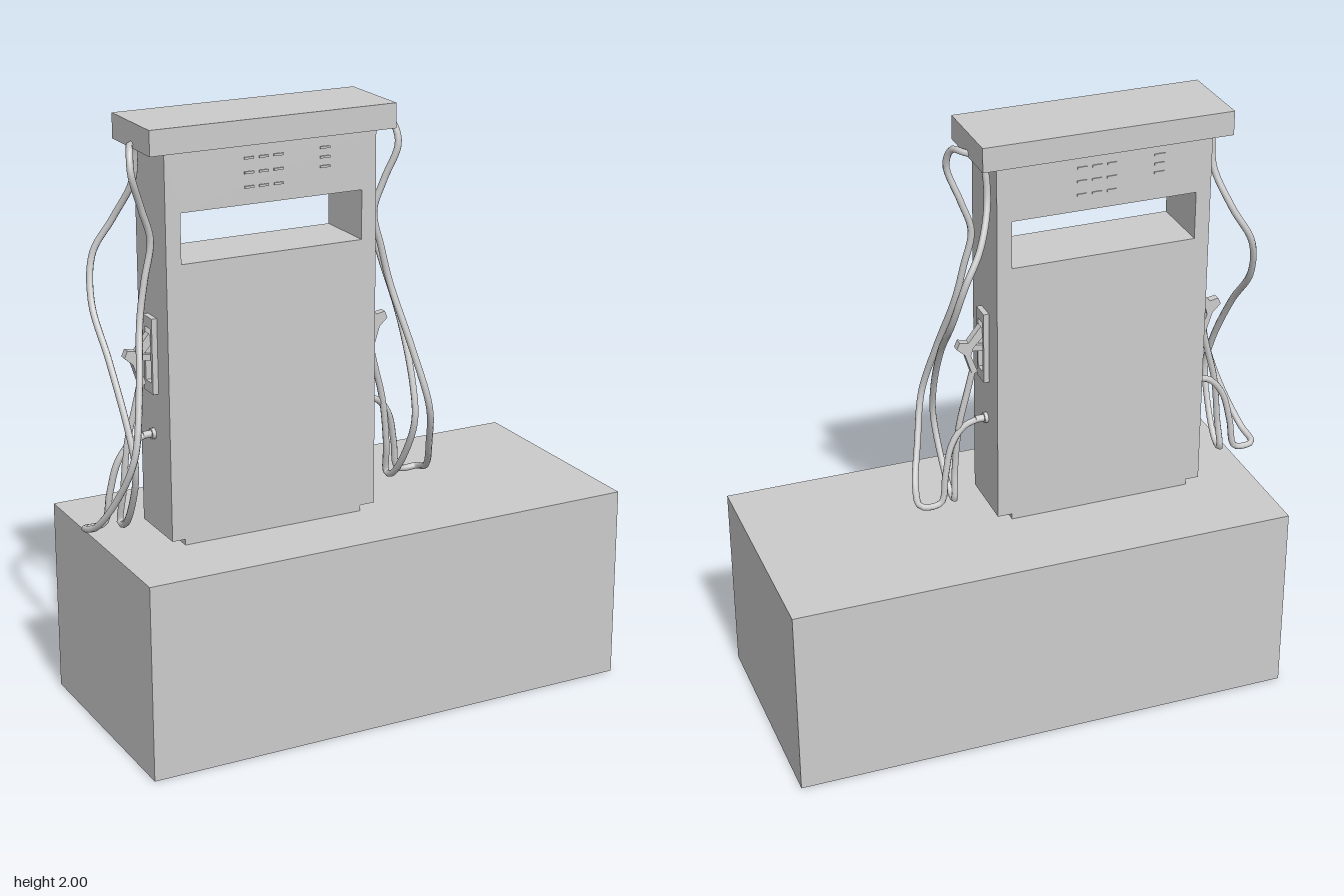
import * as THREE from 'three';

const mat = new THREE.MeshStandardMaterial({ color: 0xcccccc });
const CX = -0.27;   // middle of the pump
const CZ = 0.027;

function add(parent, name, geo, x = 0, y = 0, z = 0) {
  const mesh = new THREE.Mesh(geo, mat);
  mesh.name = name;
  mesh.position.set(x, y, z);
  parent.add(mesh);
  return mesh;
}

// Box given by its extents
function box(parent, name, x0, x1, y0, y1, z0, z1) {
  return add(parent, name, new THREE.BoxGeometry(x1 - x0, y1 - y0, z1 - z0),
    (x0 + x1) / 2, (y0 + y1) / 2, (z0 + z1) / 2);
}

// Rectangular plate with a rectangular hole, extruded along z
function framePlate(w, h, hx0, hx1, hy0, hy1, depth) {
  const s = new THREE.Shape([[-w / 2, 0], [w / 2, 0], [w / 2, h], [-w / 2, h]].map(p => new THREE.Vector2(...p)));
  s.holes.push(new THREE.Path([[hx0, hy0], [hx0, hy1], [hx1, hy1], [hx1, hy0]].map(p => new THREE.Vector2(...p))));
  return new THREE.ExtrudeGeometry(s, { depth, bevelEnabled: false });
}

function shapePlate(points, depth) {
  const s = new THREE.Shape(points.map(p => new THREE.Vector2(...p)));
  return new THREE.ExtrudeGeometry(s, { depth, bevelEnabled: false }).translate(0, 0, -depth / 2);
}

// Hose paths on the +x side, with x measured from the pump's middle
const frontHose = [
  [0.36, 1.92, 0.0], [0.42, 1.93, 0.03], [0.445, 1.925, 0.08], [0.455, 1.86, 0.11], [0.415, 1.74, 0.09],
  [0.385, 1.64, 0.08], [0.41, 1.52, 0.085], [0.435, 1.4, 0.1], [0.475, 1.2, 0.175], [0.515, 1.01, 0.222],
  [0.55, 0.865, 0.165], [0.59, 0.745, 0.075], [0.597, 0.717, 0.0], [0.53, 0.72, -0.006],
  [0.51, 0.82, 0.0], [0.485, 0.92, 0.01], [0.44, 0.98, 0.015], [0.39, 0.998, 0.015]];
const backHose = [
  [0.36, 1.925, 0.06], [0.4, 1.93, 0.02], [0.385, 1.92, -0.025], [0.38, 1.8, -0.055], [0.425, 1.67, -0.115],
  [0.485, 1.56, -0.14], [0.512, 1.42, -0.095], [0.51, 1.26, 0.03], [0.5, 1.07, 0.138], [0.492, 0.95, 0.17],
  [0.485, 0.82, 0.12], [0.48, 0.725, 0.045], [0.48, 0.717, 0.005], [0.472, 0.82, 0.018],
  [0.455, 0.98, 0.02], [0.425, 1.1, 0.022], [0.405, 1.18, 0.022]];

// Everything hanging on one side of the cabinet
function sideGear(side) {
  const g = new THREE.Group();
  g.name = side > 0 ? 'leftDispenser' : 'rightDispenser';
  const X = x => CX + side * x;

  [['frontHose', frontHose], ['backHose', backHose]].forEach(([name, pts]) => {
    const curve = new THREE.CatmullRomCurve3(pts.map(([x, y, z]) => new THREE.Vector3(X(x), y, z)));
    add(g, name, new THREE.TubeGeometry(curve, 110, 0.011, 8));
    // Closed hose ends
    [pts[0], pts[pts.length - 1]].forEach(p =>
      add(g, 'hoseEnd', new THREE.SphereGeometry(0.012, 8, 6), X(p[0]), p[1], p[2]));
  });

  // Pipe fitting low on the cabinet side
  [[0.012, 0.04, 0.38], [0.018, 0.012, 0.366]].forEach(([r, len, x]) =>
    add(g, 'hoseFitting', new THREE.CylinderGeometry(r, r, len, 12).rotateZ(Math.PI / 2), X(x), 0.998, 0.015));

  // Holster and nozzle, turned to face outward
  const h = new THREE.Group();
  h.name = 'nozzleHolster';
  h.position.set(X(0.36), 0, 0.024);
  h.rotation.y = side > 0 ? 0 : Math.PI;
  g.add(h);
  const frame = framePlate(0.066, 0.245, -0.02, 0.02, 0.035, 0.21, 0.018).rotateY(Math.PI / 2);
  add(h, 'holsterFrame', frame, 0, 1.14, 0);
  add(h, 'nozzleBody', shapePlate([[0.005, 1.305], [0.02, 1.335], [0.062, 1.282], [0.092, 1.288], [0.102, 1.265],
    [0.074, 1.24], [0.05, 1.165], [0.032, 1.175], [0.054, 1.235], [0.046, 1.262]], 0.026));
  add(h, 'nozzleLever', shapePlate([[0.0, 1.262], [0.05, 1.27], [0.055, 1.248], [0.0, 1.244]], 0.014));
  return g;
}

// Small raised bars on the display panel
function displayMarks(name) {
  const g = new THREE.Group();
  g.name = name;
  for (let r = 0; r < 3; r++) {
    for (let c = 0; c < 3; c++) {
      add(g, 'displayMark', new THREE.BoxGeometry(0.032, 0.007, 0.006), -0.08 + c * 0.05, 1.875 - r * 0.045, 0.1125);
    }
    add(g, 'displayMark', new THREE.BoxGeometry(0.035, 0.007, 0.006), 0.18, 1.88 - r * 0.03, 0.1125);
  }
  g.position.set(CX, 0, CZ);
  return g;
}

export function createModel() {
  const model = new THREE.Group();
  model.name = 'fuelPump';

  box(model, 'base', -0.82, 0.88, 0, 0.655, -0.39, 0.39);
  box(model, 'plinth', -0.585, 0.04, 0.65, 0.68, -0.084, 0.137);

  // Cabinet with a see-through opening
  add(model, 'cabinet', framePlate(0.72, 1.245, -0.31, 0.31, 0.895, 1.055, 0.223), CX, 0.675, -0.085);
  box(model, 'topCap', -0.688, 0.145, 1.92, 2, -0.114, 0.167);

  const back = displayMarks('backDisplay');
  back.rotation.y = Math.PI;
  model.add(displayMarks('frontDisplay'), back, sideGear(1), sideGear(-1));
  return model;
}
